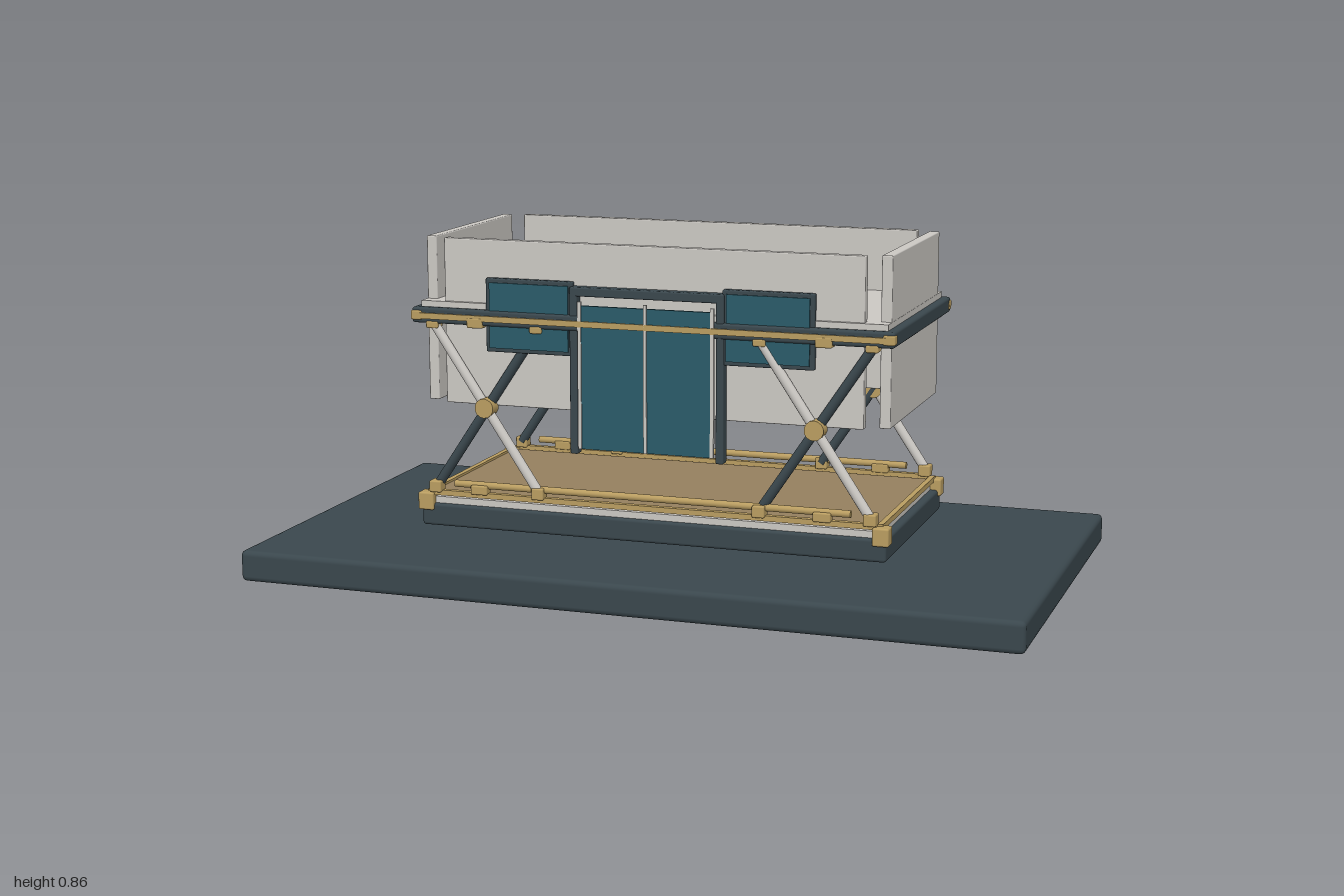
import * as THREE from 'three';
import { RoundedBoxGeometry } from 'three/addons/geometries/RoundedBoxGeometry.js';

const paint = (name, color) => {
  const m = new THREE.MeshStandardMaterial({ color });
  m.name = name;
  return m;
};

export function createModel() {
  const model = new THREE.Group();
  const dark = paint('slate', 0x3a474d);
  const pale = paint('pale grey', 0xcbc8c3);
  const brass = paint('brass', 0xb99d61);
  const wood = paint('tan deck', 0x95805f);
  const teal = paint('teal', 0x2a5b69);

  const add = (name, geometry, material, x, y, z) => {
    const mesh = new THREE.Mesh(geometry, material);
    mesh.name = name;
    mesh.position.set(x, y, z);
    model.add(mesh);
    return mesh;
  };
  // Box given by its limits on each axis; r rounds the edges
  const box = (name, material, [x0, x1], [y0, y1], [z0, z1], r = 0) => {
    const size = [x1 - x0, y1 - y0, z1 - z0];
    const geometry = r ? new RoundedBoxGeometry(...size, 2, r) : new THREE.BoxGeometry(...size);
    return add(name, geometry, material, (x0 + x1) / 2, (y0 + y1) / 2, (z0 + z1) / 2);
  };
  // Box given by centre and size
  const block = (name, material, x, y, z, w, h, d, r = 0) =>
    box(name, material, [x - w / 2, x + w / 2], [y - h / 2, y + h / 2], [z - d / 2, z + d / 2], r);
  // Round bar between two points
  const bar = (name, material, a, b, radius) => {
    const p = new THREE.Vector3(...a), q = new THREE.Vector3(...b);
    const mid = p.clone().add(q).multiplyScalar(0.5);
    const mesh = add(name, new THREE.CylinderGeometry(radius, radius, p.distanceTo(q), 14), material, mid.x, mid.y, mid.z);
    mesh.quaternion.setFromUnitVectors(new THREE.Vector3(0, 1, 0), q.sub(p).normalize());
    return mesh;
  };

  // Ground plinth and lower platform
  box('plinth', dark, [-1, 1], [0, 0.08], [-0.548, 0.548], 0.014);
  box('lowerChassis', dark, [-0.61, 0.61], [0.12, 0.178], [-0.295, 0.295], 0.008);
  box('chassisTrim', pale, [-0.59, 0.59], [0.176, 0.195], [-0.285, 0.285]);
  box('deck', wood, [-0.585, 0.585], [0.19, 0.206], [-0.262, 0.262]);

  // Tray: frame slab, floor, upright walls
  box('trayFrame', dark, [-0.61, 0.61], [0.646, 0.685], [-0.285, 0.285]);
  box('trayFloor', pale, [-0.605, 0.605], [0.684, 0.7], [-0.285, 0.285]);
  for (const s of [-1, 1]) {
    block('longWall', pale, 0, 0.65, s * 0.262, 1.09, 0.42, 0.025, 0.003);
    block('endWall', pale, s * 0.591, 0.65, 0, 0.027, 0.42, 0.495, 0.003);
    block('endRail', dark, s * 0.614, 0.665, 0, 0.022, 0.04, 0.6, 0.007);
    block('lowerEndRail', brass, s * 0.592, 0.205, 0, 0.014, 0.014, 0.56);
  }

  for (const s of [-1, 1]) {
    // Upper and lower side rails
    block('sideRail', dark, 0, 0.665, s * 0.291, 1.25, 0.04, 0.022, 0.007);
    block('sideRailInlay', brass, 0, 0.664, s * 0.303, 1.23, 0.015, 0.008);
    block('lowerRail', brass, 0, 0.207, s * 0.285, 1.17, 0.014, 0.016);
    bar('slideRail', brass, [-0.52, 0.233, s * 0.285], [0.52, 0.233, s * 0.285], 0.009);

    for (const t of [-1, 1]) {
      // Corner fittings
      block('lowerCornerBlock', brass, t * 0.597, 0.184, s * 0.282, 0.042, 0.046, 0.042, 0.005);
      block('upperCornerBlock', brass, t * 0.612, 0.665, s * 0.293, 0.03, 0.024, 0.026, 0.004);

      // Crossed legs
      const cx = t * 0.43;
      bar('darkLeg', dark, [cx - 0.14, 0.226, s * 0.279], [cx + 0.14, 0.645, s * 0.279], 0.0125);
      bar('paleLeg', pale, [cx - 0.14, 0.645, s * 0.289], [cx + 0.14, 0.226, s * 0.289], 0.0125);
      bar('crossPivot', brass, [cx, 0.436, s * 0.268], [cx, 0.436, s * 0.306], 0.025);

      // Pivot shoes at the leg ends and slide stops
      for (const u of [-1, 1]) {
        const x = cx + u * 0.14;
        block('footShoe', brass, x, 0.224, s * 0.287, 0.032, 0.03, 0.034, 0.004);
        block('headShoe', brass, x, 0.642, s * 0.287, 0.032, 0.018, 0.034, 0.004);
      }
      block('slideStop', brass, t * 0.45, 0.222, s * 0.288, 0.045, 0.024, 0.028, 0.004);
      block('railClamp', brass, t * 0.452, 0.652, s * 0.293, 0.042, 0.026, 0.03, 0.004);

      // Framed side panels
      block('panelFrame', dark, t * 0.31, 0.673, s * 0.284, 0.232, 0.186, 0.018, 0.004);
      block('panelFace', teal, t * 0.31, 0.673, s * 0.294, 0.21, 0.165, 0.006);
    }
  }

  // Front double door with frame and pale trims
  for (const t of [-1, 1]) {
    block('doorPost', dark, t * 0.19, 0.545, 0.285, 0.02, 0.42, 0.03, 0.004);
    block('doorLeaf', teal, t * 0.085, 0.53, 0.299, 0.164, 0.36, 0.008);
    block('doorEdgeTrim', pale, t * 0.172, 0.535, 0.301, 0.009, 0.37, 0.008);
  }
  box('doorLintel', dark, [-0.2, 0.2], [0.732, 0.755], [0.27, 0.3], 0.004);
  block('doorCentreTrim', pale, 0, 0.535, 0.303, 0.008, 0.37, 0.008);
  return model;
}
